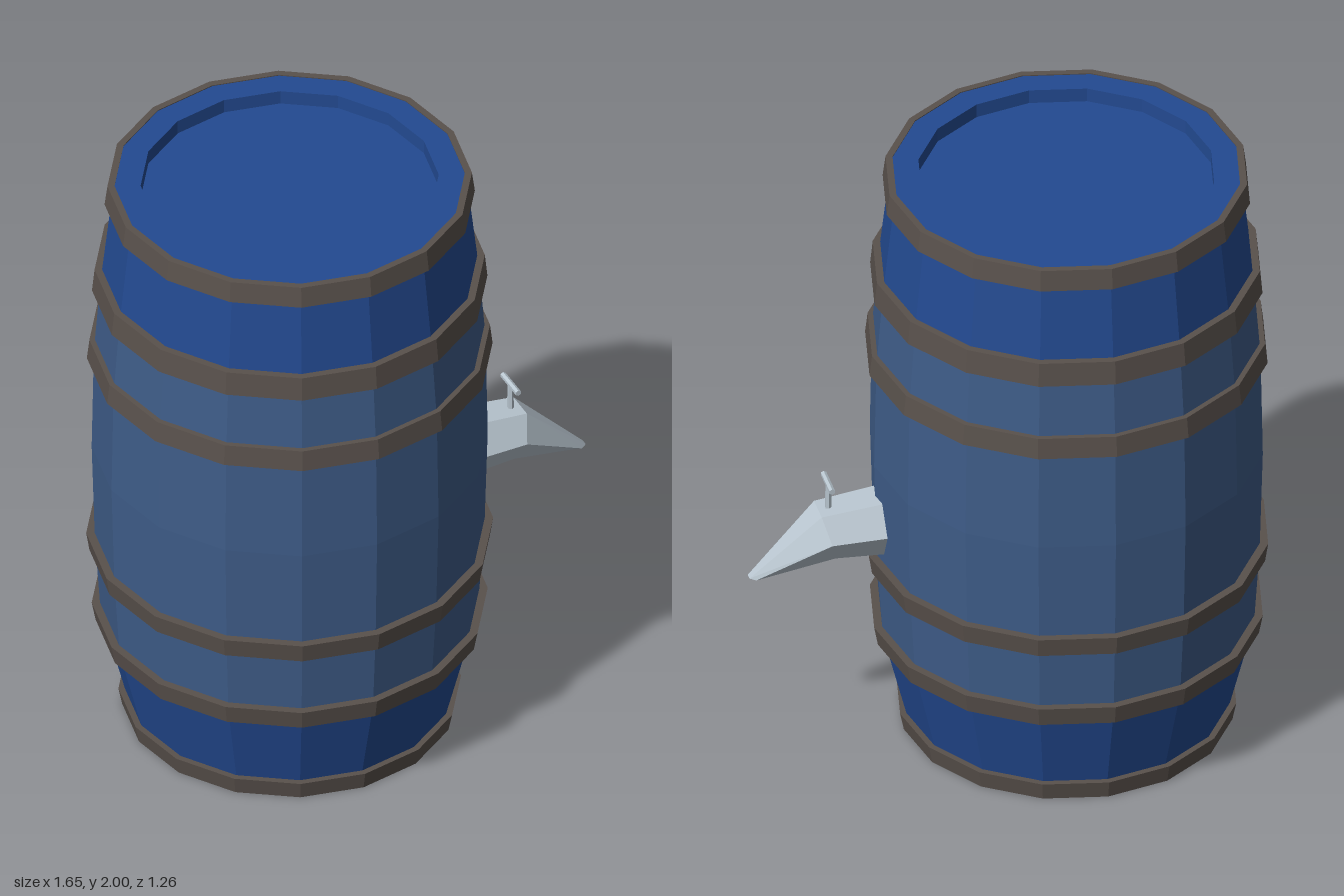
import * as THREE from 'three';

const SIDES = 16;
const material = (color) => new THREE.MeshStandardMaterial({ color, flatShading: true });

function lathe(name, points, mat) {
  const geometry = new THREE.LatheGeometry(points.map(([r, y]) => new THREE.Vector2(r, y)), SIDES);
  const mesh = new THREE.Mesh(geometry, mat);
  mesh.name = name;
  return mesh;
}

// Skin a row of hexagonal sections; each has a centre, an "up" direction in the xy plane and a radius
function hexLoft(sections) {
  const n = 6, positions = [], index = [];
  for (const { x, y, tilt, r } of sections) {
    for (let i = 0; i < n; i++) {
      const a = (i / n) * Math.PI * 2, up = Math.sin(a) * r;
      positions.push(x + Math.sin(tilt) * up, y + Math.cos(tilt) * up, Math.cos(a) * r);
    }
  }
  for (let s = 0; s < sections.length - 1; s++) {
    for (let i = 0; i < n; i++) {
      const a = s * n + i, b = s * n + (i + 1) % n;
      index.push(a, a + n, b, b, a + n, b + n);
    }
  }
  const last = (sections.length - 1) * n;
  for (let i = 1; i < n - 1; i++) {
    index.push(0, i, i + 1);
    index.push(last, last + i + 1, last + i);
  }
  const geometry = new THREE.BufferGeometry();
  geometry.setAttribute('position', new THREE.Float32BufferAttribute(positions, 3));
  geometry.setIndex(index);
  geometry.computeVertexNormals();
  return geometry;
}

export function createModel() {
  const model = new THREE.Group();
  model.name = 'barrelWithTap';
  const blue = material(0x234a91);
  const fadedBlue = material(0x3e5c88);
  const iron = material(0x59514c);
  const steel = material(0xb9c6d0);

  // Barrel: two blue ends with recessed heads and a bulging middle
  const barrel = new THREE.Group();
  barrel.name = 'barrel';
  barrel.position.x = -0.195;
  model.add(barrel);
  barrel.add(
    lathe('lowerStaves', [[0, 0.05], [0.46, 0.05], [0.46, 0.003], [0.5, 0.003], [0.512, 0.06], [0.587, 0.36]], blue),
    lathe('middleStaves', [[0.587, 0.36], [0.605, 0.64], [0.615, 1], [0.608, 1.37], [0.587, 1.64]], fadedBlue),
    lathe('upperStaves', [[0.587, 1.64], [0.555, 1.93], [0.548, 1.997], [0.463, 1.997], [0.463, 1.95], [0, 1.95]], blue),
  );

  // Hoops: bottom y, top y, bottom radius, top radius
  const hoops = [
    [0, 0.06, 0.52, 0.532],
    [0.33, 0.395, 0.603, 0.615],
    [0.6, 0.665, 0.622, 0.632],
    [1.34, 1.41, 0.63, 0.622],
    [1.6, 1.68, 0.614, 0.606],
    [1.93, 2, 0.575, 0.566],
  ];
  hoops.forEach(([y0, y1, r0, r1], i) => {
    const t = i === 0 || i === hoops.length - 1 ? 0.022 : 0.04;
    barrel.add(lathe('hoop' + (i + 1),
      [[r0, y0], [r1, y1], [r1 - t, y1], [r0 - t, y0], [r0, y0]], iron));
  });

  // Tap: bent hexagonal spout with a small T handle
  const tap = new THREE.Group();
  tap.name = 'tap';
  model.add(tap);
  const addPart = (name, geometry, x, y) => {
    const mesh = new THREE.Mesh(geometry, steel);
    mesh.name = name;
    mesh.position.set(x, y, 0);
    tap.add(mesh);
    return mesh;
  };
  addPart('spout', hexLoft([
    { x: 0.405, y: 0.795, tilt: 0.03, r: 0.108 },
    { x: 0.578, y: 0.788, tilt: 0.27, r: 0.096 },
    { x: 0.803, y: 0.65, tilt: 1.4, r: 0.022 },
  ]), 0, 0);
  addPart('handleStem', new THREE.CylinderGeometry(0.009, 0.011, 0.1, 6), 0.567, 0.91);
  addPart('handleBar', new THREE.CylinderGeometry(0.01, 0.01, 0.108, 6), 0.568, 0.961).rotation.x = Math.PI / 2;

  return model;
}
